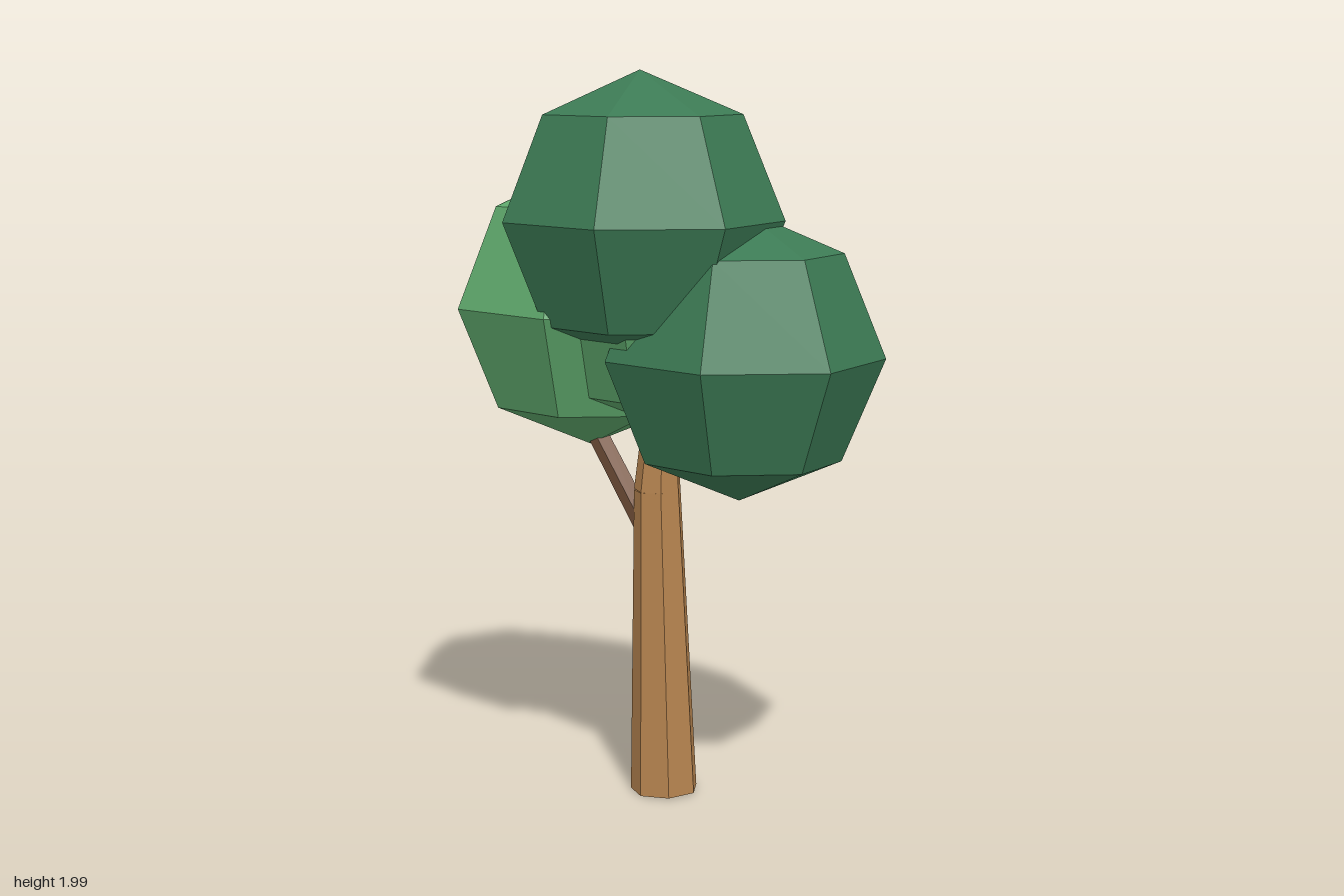
import * as THREE from 'three';

const paint = (color) => new THREE.MeshStandardMaterial({ color, flatShading: true });

export function createModel() {
  const tree = new THREE.Group();
  tree.name = 'tree';

  const bark = paint(0xb5834f);
  const darkBark = paint(0x7a553d);
  const darkLeaf = paint(0x3c7a54);
  const lightLeaf = paint(0x5fa86c);

  const add = (name, geometry, material) => {
    const mesh = new THREE.Mesh(geometry, material);
    mesh.name = name;
    tree.add(mesh);
    return mesh;
  };

  // Tapered limb between two points
  const limb = (name, from, to, r0, r1, sides, material) => {
    const a = new THREE.Vector3(...from);
    const b = new THREE.Vector3(...to);
    const dir = b.clone().sub(a);
    const geometry = new THREE.CylinderGeometry(r1, r0, dir.length(), sides);
    geometry.rotateY(Math.PI / 2); // a corner points to +x
    const mesh = add(name, geometry, material);
    mesh.position.copy(a).add(b).multiplyScalar(0.5);
    mesh.quaternion.setFromUnitVectors(new THREE.Vector3(0, 1, 0), dir.normalize());
  };

  // Trunk leans slightly, then narrows into the crown
  limb('trunk', [0.018, 0.008, -0.062], [-0.005, 0.86, -0.062], 0.095, 0.066, 7, bark);
  limb('trunkTop', [-0.005, 0.86, -0.062], [0.008, 1.2, -0.062], 0.066, 0.035, 7, bark);

  // Side branch carrying the left-hand foliage
  limb('branch', [-0.03, 0.73, -0.065], [-0.235, 1.05, -0.065], 0.033, 0.03, 5, darkBark);

  // Foliage: four equal faceted balls, slightly narrower front to back
  const ball = new THREE.SphereGeometry(1, 7, 4);
  ball.scale(0.39, 0.39, 0.362);
  const crowns = [
    ['topFoliage', [0.015, 1.61, 0.062], darkLeaf],
    ['leftFoliage', [0.262, 1.252, -0.043], darkLeaf],
    ['rightFoliage', [-0.228, 1.357, -0.066], lightLeaf],
    ['backFoliage', [0.013, 1.412, -0.064], lightLeaf],
  ];
  for (const [name, position, material] of crowns) {
    add(name, ball, material).position.set(...position);
  }

  return tree;
}
